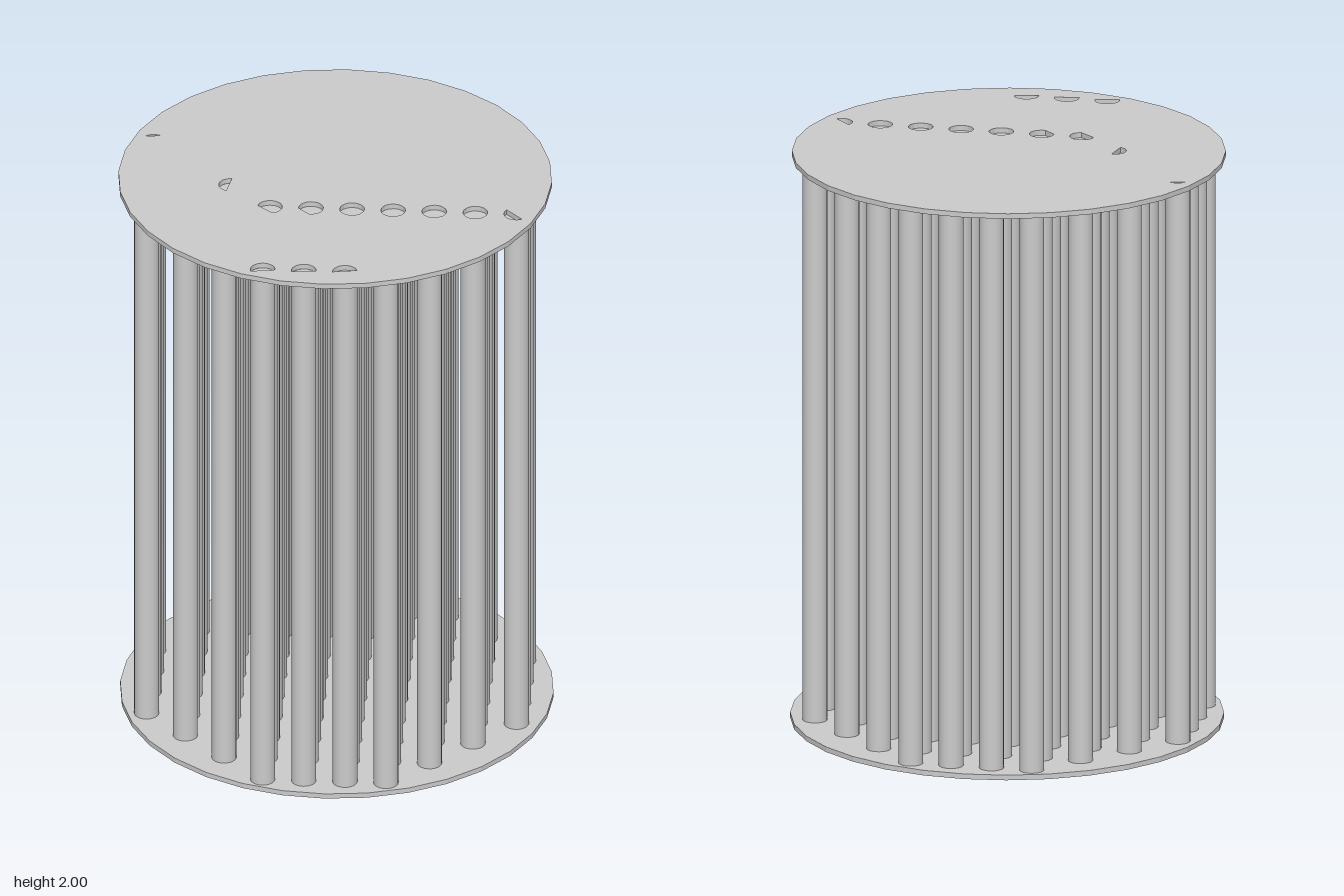
import * as THREE from 'three';

const PLATE_R = 0.733, PLATE_T = 0.018, HEIGHT = 2, COLUMN_R = 0.042;
const STEP_X = 0.139, STEP_Z = 0.1425, OFF_X = -0.003, OFF_Z = 0.002;
const columnX = (i) => (i - 4.5) * STEP_X + OFF_X;
const columnZ = (j) => (j - 4.5) * STEP_Z + OFF_Z;

// Partial openings over column ends: [column i, column j, start degrees, end degrees]
const topCuts = [
  [3, 6, 190, 435], [4, 6, 175, 455], [5, 6, 0, 360], [6, 6, 0, 360],
  [7, 6, 0, 360], [8, 6, 0, 360], [9, 6, 60, 215],
  [3, 9, 160, 360], [4, 9, 168, 360], [5, 9, 175, 345],
  [0, 3, 222, 300], [2, 5, 110, 270],
];
const bottomCuts = [
  [4, 2, 0, 200], [6, 0, 20, 130], [6, 6, 30, 190], [6, 7, 0, 190],
  [6, 8, 0, 190], [6, 5, 40, 170], [5, 5, 30, 160], [7, 5, 100, 200],
];

const material = new THREE.MeshStandardMaterial({ color: 0xcccccc });

function arcPoints(cx, cy, r, from, to, count) {
  return Array.from({ length: count + 1 }, (_, k) => {
    const a = THREE.MathUtils.degToRad(from + ((to - from) * k) / count);
    return new THREE.Vector2(cx + r * Math.cos(a), cy + r * Math.sin(a));
  });
}

// Thin 32-sided disc whose upper face lies at topY
function makePlate(name, topY, shift, cuts) {
  const shape = new THREE.Shape(arcPoints(shift, 0, PLATE_R, 0, 360, 32).slice(0, -1));
  for (const [i, j, from, to] of cuts) {
    const points = arcPoints(columnX(i), columnZ(j), COLUMN_R, from, to, 16);
    if (to - from === 360) points.pop();
    shape.holes.push(new THREE.Path(points));
  }
  const geometry = new THREE.ExtrudeGeometry(shape, { depth: PLATE_T, bevelEnabled: false });
  geometry.rotateX(Math.PI / 2);
  const plate = new THREE.Mesh(geometry, material);
  plate.name = name;
  plate.position.y = topY;
  return plate;
}

export function createModel() {
  const model = new THREE.Group();
  model.name = 'columnDrum';
  model.add(makePlate('topPlate', HEIGHT, -0.003, topCuts));
  model.add(makePlate('bottomPlate', PLATE_T, 0.003, bottomCuts));

  // Square grid of columns, limited to those that fit inside the plates
  const columns = new THREE.Group();
  columns.name = 'columns';
  const geometry = new THREE.CylinderGeometry(COLUMN_R, COLUMN_R, HEIGHT - 2 * PLATE_T, 24);
  for (let i = 0; i < 10; i++) {
    for (let j = 0; j < 10; j++) {
      if (Math.hypot(i - 4.5, j - 4.5) > 4.85) continue;
      const column = new THREE.Mesh(geometry, material);
      column.name = 'column';
      column.position.set(columnX(i), HEIGHT / 2, columnZ(j));
      columns.add(column);
    }
  }
  model.add(columns);
  return model;
}
